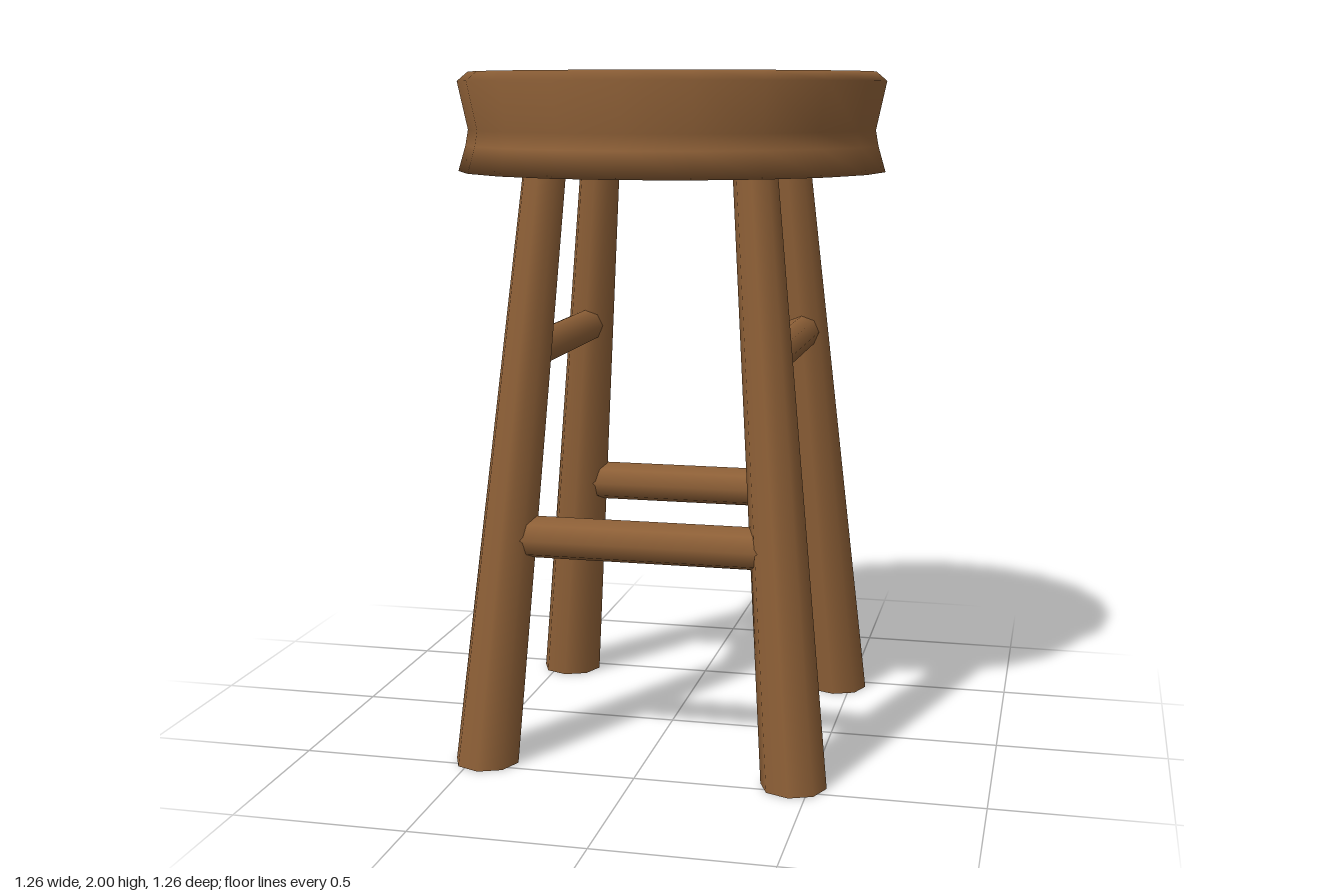
import * as THREE from 'three';

export function createModel() {
  const model = new THREE.Group();
  model.name = 'stool';
  const wood = new THREE.MeshStandardMaterial({ color: 0x8e6037 });
  wood.name = 'brown wood';

  const add = (geometry, name) => {
    const mesh = new THREE.Mesh(geometry, wood);
    mesh.name = name;
    model.add(mesh);
    return mesh;
  };

  // Round seat: flared underside rim, narrow waist, rounded top edge
  const seatBottom = 1.71;
  const profile = [
    [0, seatBottom], [0.632, seatBottom], [0.61, 1.785], [0.602, 1.83],
    [0.632, 1.97], [0.6, 1.997], [0, 2],
  ].map(([r, y]) => new THREE.Vector2(r, y));
  add(new THREE.LatheGeometry(profile, 20), 'seat');

  // Splayed, tapered legs: sheared so both ends stay level
  const footAt = 0.455, topAt = 0.305;
  const legAt = (y) => footAt + (topAt - footAt) * y / seatBottom;
  const slope = (topAt - footAt) / seatBottom;
  for (const sx of [1, -1]) {
    for (const sz of [1, -1]) {
      const leg = new THREE.CylinderGeometry(0.064, 0.095, seatBottom, 8);
      leg.translate(0, seatBottom / 2, 0);
      leg.applyMatrix4(new THREE.Matrix4().set(
        1, sx * slope, 0, sx * footAt,
        0, 1, 0, 0,
        0, sz * slope, 1, sz * footAt,
        0, 0, 0, 1));
      add(leg, `${sz > 0 ? 'front' : 'back'}${sx > 0 ? 'Left' : 'Right'}Leg`);
    }
  }

  // Rungs: low pair at front and back, high pair at the sides
  const rung = (radius, y) => new THREE.CylinderGeometry(radius, radius, 2 * legAt(y), 8);
  const lowY = 0.67, highY = 1.198;
  for (const s of [1, -1]) {
    const low = rung(0.062, lowY).rotateZ(Math.PI / 2);
    add(low, s > 0 ? 'frontRung' : 'backRung').position.set(0, lowY, s * legAt(lowY));
    const high = rung(0.052, highY).rotateX(Math.PI / 2);
    add(high, s > 0 ? 'leftRung' : 'rightRung').position.set(s * legAt(highY), highY, 0);
  }
  return model;
}
